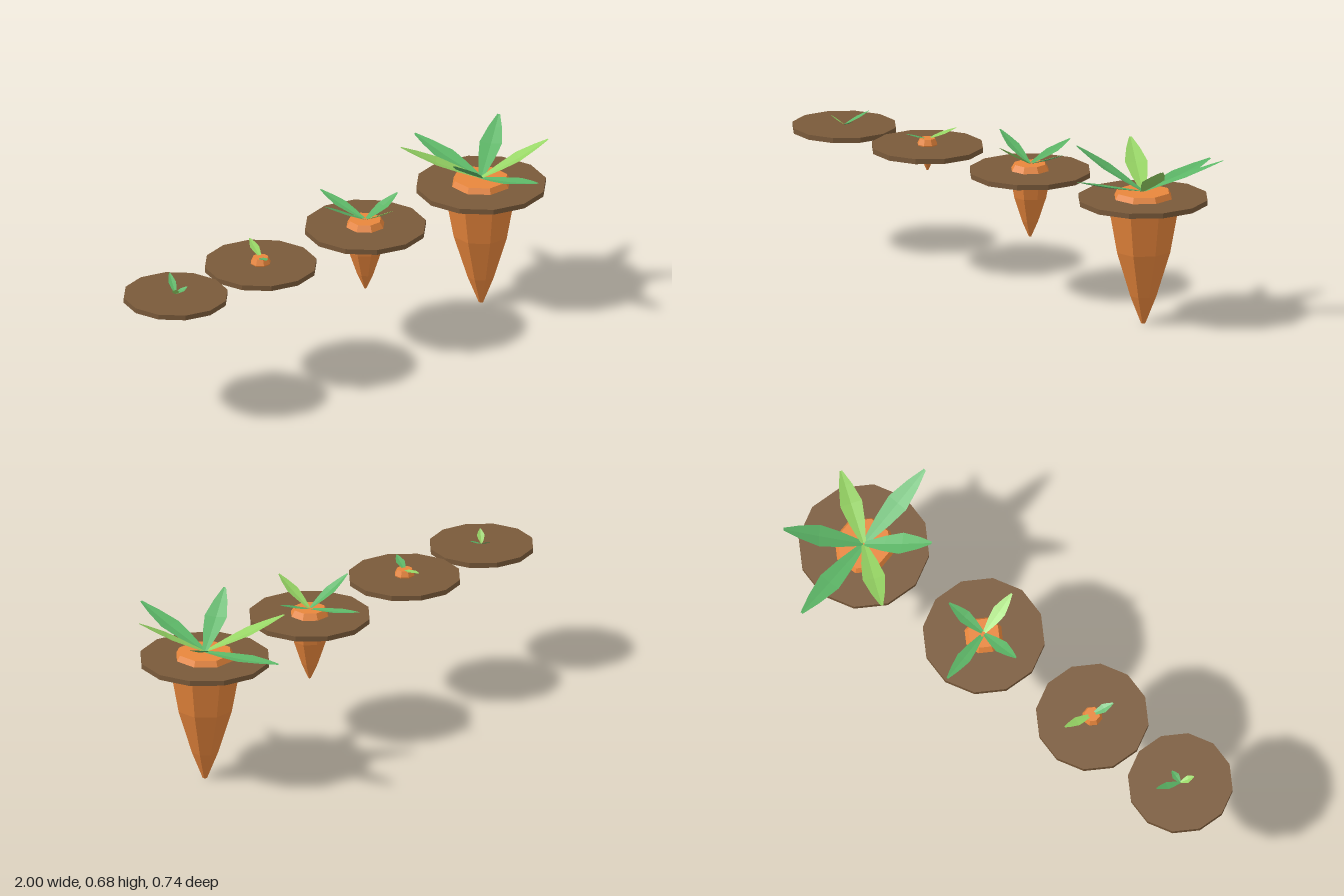
import * as THREE from 'three';

const Z0 = 0.014;
const material = (color, side = THREE.FrontSide) =>
  new THREE.MeshStandardMaterial({ color, flatShading: true, side });

// Low-poly faceted leaf: a narrow strip with a sunken midrib, running from base to tip.
function leafGeometry(base, tip, width) {
  const dir = tip.clone().sub(base);
  const side = new THREE.Vector3(-dir.z, 0, dir.x).normalize();
  const up = side.clone().cross(dir).normalize();
  if (up.y < 0) up.negate();
  const sections = [[0, 0.2], [0.3, 0.72], [0.55, 1], [0.8, 0.6], [1, 0.12]]; // [along, width]
  const points = [], index = [];
  sections.forEach(([t, w], i) => {
    for (const s of [-1, 0, 1]) {
      const p = base.clone().addScaledVector(dir, t)
        .addScaledVector(side, s * w * width / 2)
        .addScaledVector(up, s === 0 ? -0.08 * w * width : 0);
      points.push(p.x, p.y, p.z);
    }
    if (i === 0) return;
    for (let k = 0; k < 2; k++) {
      const a = (i - 1) * 3 + k, b = a + 1, c = a + 3, d = a + 4;
      index.push(a, b, c, b, d, c);
    }
  });
  const geometry = new THREE.BufferGeometry();
  geometry.setAttribute('position', new THREE.Float32BufferAttribute(points, 3));
  geometry.setIndex(index);
  geometry.computeVertexNormals();
  return geometry;
}

export function createModel() {
  const model = new THREE.Group();
  model.name = 'carrotGrowthStages';
  const soil = material(0x7a5a3a);
  const orange = material(0xe8863c);
  const green = material(0x5cb566, THREE.DoubleSide);
  const lightGreen = material(0x96d464, THREE.DoubleSide);

  // Root profiles are [radius, y] from tip to crown; leaf tips are [x, y, z, light].
  const stages = [
    {
      name: 'sprout', x: -0.8, soilRadius: 0.202, leafY: 0.5, leafWidth: 0.03,
      leaves: [[-0.754, 0.545, -0.075], [-0.835, 0.54, 0.054, true], [-0.75, 0.52, 0.025]],
    },
    {
      name: 'seedling', x: -0.37, soilRadius: 0.217, leafY: 0.523, leafWidth: 0.036,
      root: [[0.004, 0.4], [0.016, 0.427], [0.032, 0.468], [0.04, 0.504], [0.03, 0.526]],
      leaves: [[-0.326, 0.552, -0.1, true], [-0.41, 0.55, 0.092]],
    },
    {
      name: 'youngCarrot', x: 0.16, soilRadius: 0.235, leafY: 0.522, leafWidth: 0.055,
      root: [[0.005, 0.235], [0.033, 0.298], [0.066, 0.395], [0.084, 0.487], [0.062, 0.524]],
      leaves: [[0.144, 0.57, -0.23], [0.155, 0.617, 0.18, true],
        [-0.021, 0.62, -0.015], [0.326, 0.585, 0.01]],
    },
    {
      name: 'ripeCarrot', x: 0.745, soilRadius: 0.252, leafY: 0.522, leafWidth: 0.088,
      root: [[0.009, 0], [0.054, 0.112], [0.11, 0.29], [0.141, 0.455], [0.105, 0.522]],
      leaves: [[0.743, 0.576, -0.37], [0.727, 0.625, 0.365], [0.505, 0.655, -0.177, true],
        [0.993, 0.652, -0.168], [0.966, 0.664, 0.15, true], [0.508, 0.682, 0.132]],
    },
  ];

  for (const stage of stages) {
    const plant = new THREE.Group();
    plant.name = stage.name;
    model.add(plant);

    const add = (geometry, mat, name) => {
      const mesh = new THREE.Mesh(geometry, mat);
      mesh.name = name;
      plant.add(mesh);
      return mesh;
    };

    // Twelve-sided soil disc
    add(new THREE.CylinderGeometry(stage.soilRadius, stage.soilRadius, 0.02, 12), soil, 'soilDisc')
      .position.set(stage.x, 0.49, Z0);

    // Eight-sided root, closed at tip and crown
    if (stage.root) {
      const first = stage.root[0], last = stage.root[stage.root.length - 1];
      const profile = [[0, first[1]], ...stage.root, [0, last[1]]]
        .map(([r, y]) => new THREE.Vector2(r, y));
      const root = add(new THREE.LatheGeometry(profile, 8, Math.PI / 8), orange, 'root');
      root.position.set(stage.x, 0, Z0);
    }

    // Leaves fanning out of the crown
    const base = new THREE.Vector3(stage.x, stage.leafY, Z0);
    for (const [x, y, z, light] of stage.leaves) {
      add(leafGeometry(base, new THREE.Vector3(x, y, z), stage.leafWidth),
        light ? lightGreen : green, 'leaf');
    }
  }
  return model;
}
